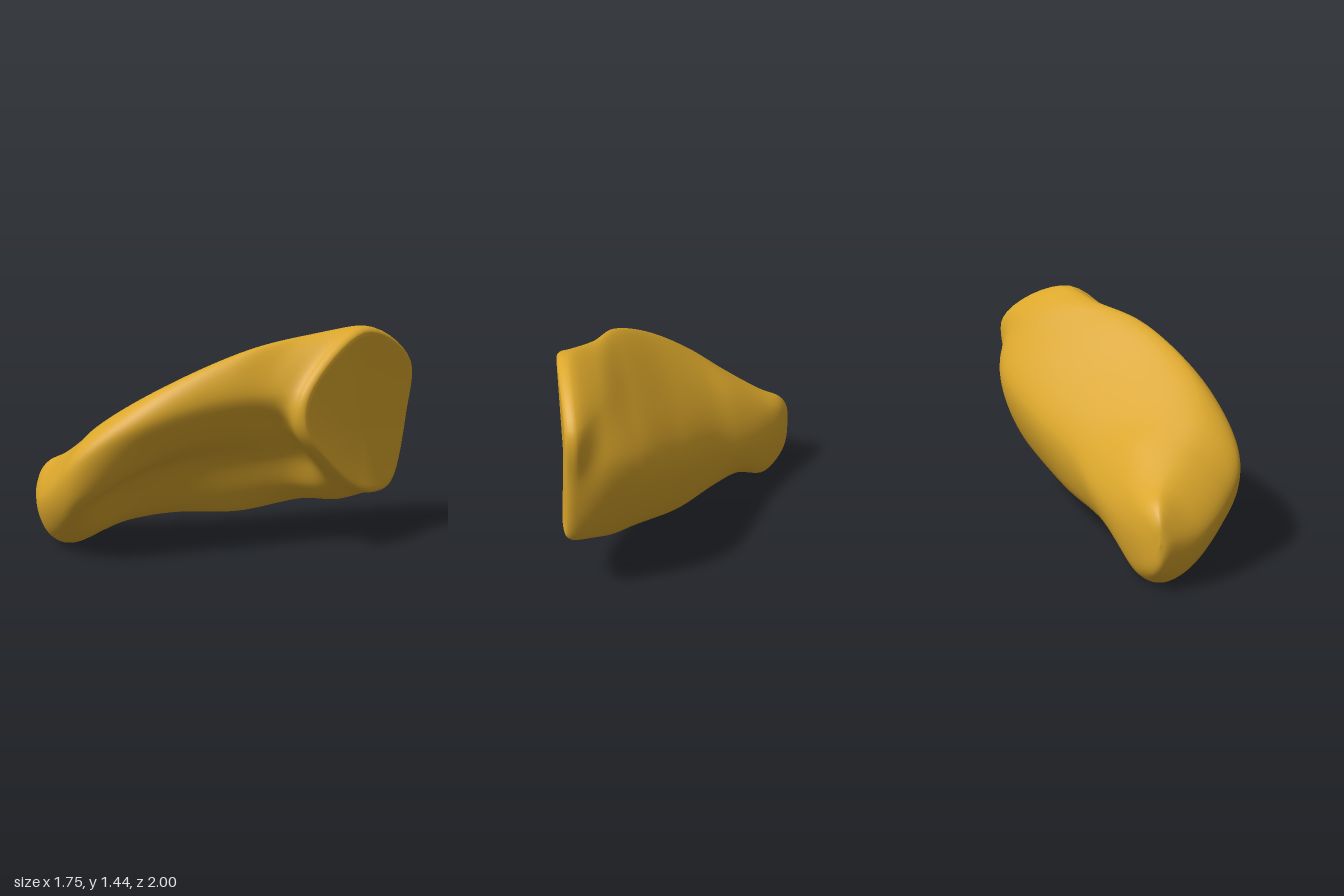
import * as THREE from 'three';

const RING = 72, STEPS = 9;

// Cross-sections across x: z, y pairs from the top, over the front, under and up the back
const SECTIONS = [
  { x: -0.66, p: [.66, .6, .885, .36, .83, .13, .7, .015, .58, 0, .48, .05, .41, .19, .39, .38, .48, .55] },
  { x: -0.4, p: [.72, .75, .975, .5, .91, .25, .7, .14, .45, .14, .3, .15, .17, .26, .12, .46, .38, .73] },
  { x: -0.2, p: [.74, .89, .99, .68, .93, .41, .58, .46, .28, .24, .1, .185, -.02, .3, -.07, .58, .3, .85] },
  { x: 0.1, p: [.58, 1.1, .76, .9, .6, .71, .25, .61, 0, .3, -.17, .19, -.35, .36, -.46, .72, .02, 1.02] },
  { x: 0.42, p: [.18, 1.31, .35, 1.06, .2, .86, -.07, .63, -.24, .38, -.46, .28, -.66, .42, -.81, .88, -.4, 1.2] },
  { x: 0.62, p: [-.22, 1.39, .1, 1.08, -.02, .86, -.22, .62, -.33, .4, -.56, .29, -.75, .4, -.92, .93, -.74, 1.24] },
  { x: 0.8, p: [-.46, 1.44, 0, 1.09, .02, .87, -.2, .6, -.42, .42, -.6, .36, -.79, .39, -.94, .84, -.97, 1.18] },
];

// The broad end slants back towards the front
const slant = (x, z) => x - 0.17 * Math.max(0, z + 0.58) * THREE.MathUtils.smoothstep(x, 0.55, 0.8);

// Closed smooth ring through a section, optionally shrunk around a centre to close an end
function ring(section, x = section.x, scaleZ = 1, scaleY = 1, cz = 0, cy = 0) {
  const corners = [];
  for (let i = 0; i < section.p.length; i += 2) {
    const z = cz + (section.p[i] - cz) * scaleZ;
    const y = cy + (section.p[i + 1] - cy) * scaleY;
    corners.push(new THREE.Vector3(slant(x, z), y, z));
  }
  const curve = new THREE.CatmullRomCurve3(corners, true, 'centripetal');
  return Array.from({ length: RING }, (_, j) => curve.getPoint(j / RING));
}

function makeMesh(name, points, index, material) {
  const geometry = new THREE.BufferGeometry().setFromPoints(points);
  geometry.setIndex(index);
  geometry.computeVertexNormals();
  const mesh = new THREE.Mesh(geometry, material);
  mesh.name = name;
  return mesh;
}

export function createModel() {
  const group = new THREE.Group();
  const ochre = new THREE.MeshStandardMaterial({ color: 0xdaa62b });
  ochre.name = 'ochre';

  // Narrow rounded tip, body sections, then the softened rim of the broad end
  const first = SECTIONS[0], last = SECTIONS[SECTIONS.length - 1];
  const rings = [
    ring(first, -0.878, 0.001, 0.001, .7, .32),
    ring(first, -0.86, 0.2, 0.46, .7, .32),
    ring(first, -0.8, 0.5, 0.74, .69, .32),
    ...SECTIONS.map(s => ring(s)),
    ring(last, 0.845, 0.985, 0.985, -.5, .9),
    ring(last, 0.866, 0.95, 0.95, -.5, .9),
    ring(last, 0.869, 0.9, 0.9, -.5, .9),
  ];

  // Smooth body lofted lengthwise through the rings
  const rows = (rings.length - 1) * STEPS;
  const rails = Array.from({ length: RING }, (_, j) =>
    new THREE.CatmullRomCurve3(rings.map(r => r[j]), false, 'centripetal'));
  const points = [], index = [];
  for (let i = 0; i <= rows; i++)
    for (const rail of rails) points.push(rail.getPoint(i / rows));
  for (let i = 0; i < rows; i++)
    for (let j = 0; j < RING; j++) {
      const a = i * RING + j, b = i * RING + (j + 1) % RING;
      index.push(a, b, a + RING, b, b + RING, a + RING);
    }
  group.add(makeMesh('body', points, index, ochre));

  // Flat face closing the broad end
  const rim = rings[rings.length - 1];
  const middle = rim.reduce((m, v) => m.addScaledVector(v, 1 / RING), new THREE.Vector3());
  const fan = rim.flatMap((_, j) => [0, 1 + j, 1 + (j + 1) % RING]);
  group.add(makeMesh('endFace', [middle, ...rim], fan, ochre));

  return group;
}
